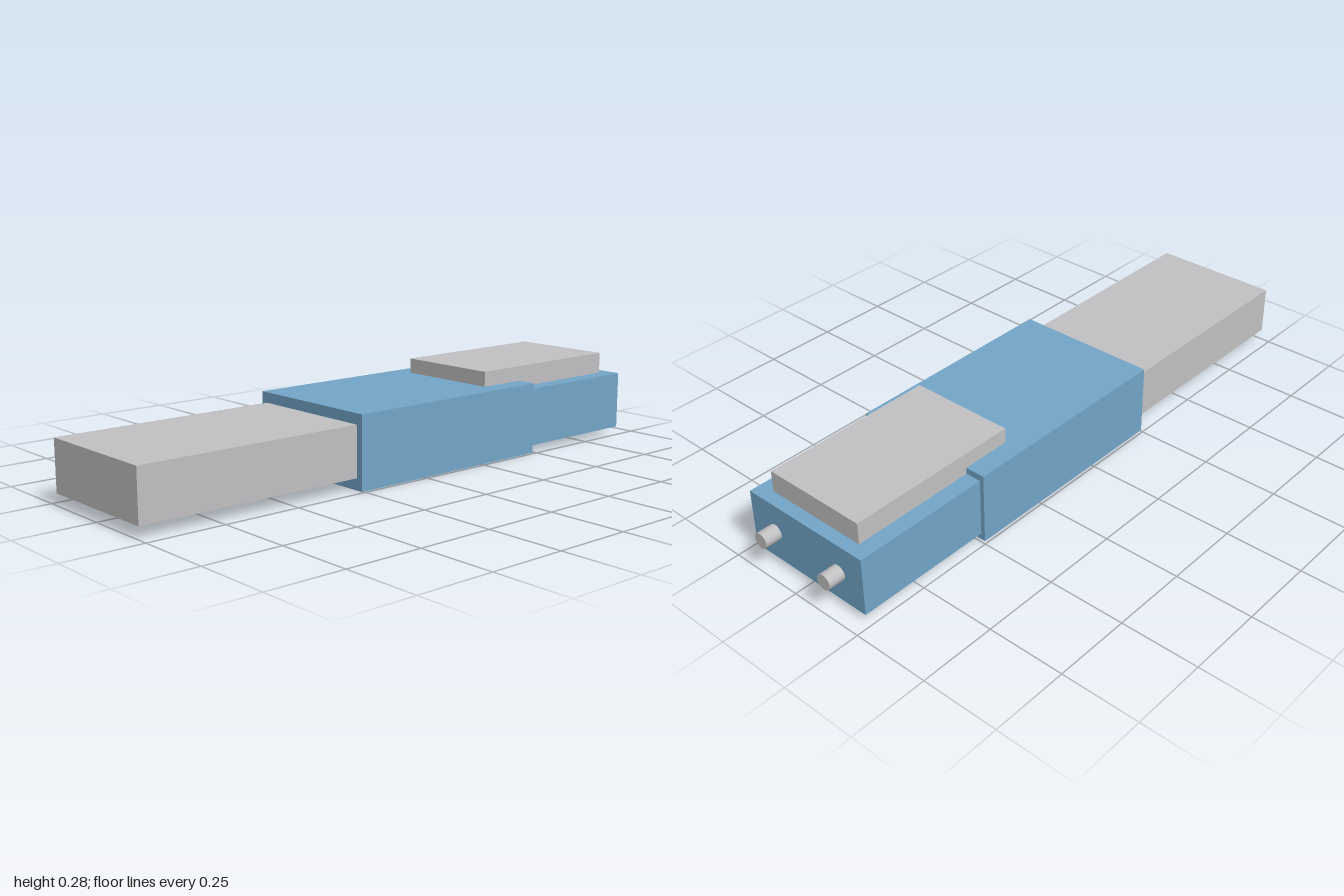
import * as THREE from 'three';

export function createModel() {
  const model = new THREE.Group();
  const grey = new THREE.MeshStandardMaterial({ color: 0xc0c0c2 });
  grey.name = 'light grey';
  const blue = new THREE.MeshStandardMaterial({ color: 0x72a5c8 });
  blue.name = 'steel blue';

  // Box from its x and y limits, centred on z = 0
  function block(name, x0, x1, y0, y1, depth, material) {
    const mesh = new THREE.Mesh(new THREE.BoxGeometry(x1 - x0, y1 - y0, depth), material);
    mesh.position.set((x0 + x1) / 2, (y0 + y1) / 2, 0);
    mesh.name = name;
    model.add(mesh);
  }

  block('tailBlock', -1, -0.255, 0.037, 0.199, 0.434, grey);
  block('mainHousing', -0.255, 0.491, 0, 0.233, 0.481, blue);
  block('endHousing', 0.491, 0.946, 0.021, 0.212, 0.453, blue);

  // Raised plate, stepping down over the end housing
  block('topPlate', 0.326, 0.904, 0.212, 0.282, 0.35, grey);

  // Pair of round pins on the end face
  for (const side of [-1, 1]) {
    const pin = new THREE.Mesh(new THREE.CylinderGeometry(0.025, 0.025, 0.054, 32), grey);
    pin.rotation.z = -Math.PI / 2;
    pin.position.set(0.973, 0.117, side * 0.13);
    pin.name = side > 0 ? 'frontPin' : 'backPin';
    model.add(pin);
  }

  return model;
}
